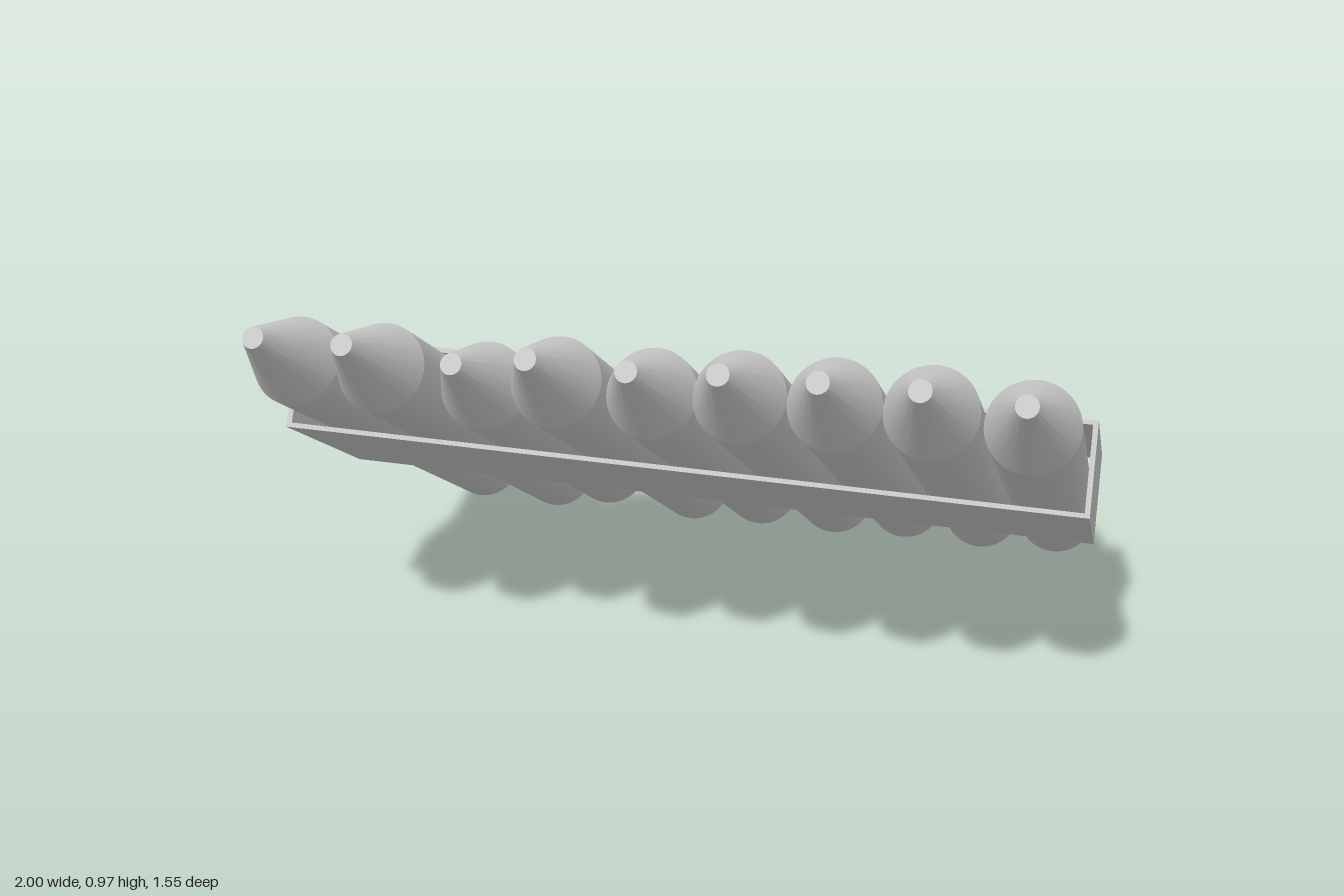
import * as THREE from 'three';
import { toCreasedNormals } from 'three/addons/utils/BufferGeometryUtils.js';

const RADIUS = 0.1093;
const TIP_RADIUS = 0.026;
const CONE_LENGTH = 0.237;
const SPACING = 0.2188;

// One pointed rod along z, from its flat back end to its blunt tip
function rodGeometry(back, tip) {
  const profile = [
    [0, back], [RADIUS, back], [RADIUS, tip - CONE_LENGTH], [TIP_RADIUS, tip], [0, tip],
  ].map(([r, s]) => new THREE.Vector2(r, s));
  const geometry = new THREE.LatheGeometry(profile, 48);
  geometry.rotateX(Math.PI / 2);
  return toCreasedNormals(geometry, 0.25);
}

function rectangle(PathType, halfWidth, halfHeight) {
  const path = new PathType();
  path.moveTo(-halfWidth, -halfHeight);
  path.lineTo(halfWidth, -halfHeight);
  path.lineTo(halfWidth, halfHeight);
  path.lineTo(-halfWidth, halfHeight);
  path.closePath();
  return path;
}

// Thin hollow sleeve, sheared so that it crosses the rods at a slant
function bandGeometry() {
  const length = 0.481;
  const shape = rectangle(THREE.Shape, 1, 0.123);
  shape.holes.push(rectangle(THREE.Path, 0.987, 0.111));
  const geometry = new THREE.ExtrudeGeometry(shape, { depth: length, bevelEnabled: false });
  geometry.translate(0, 0, -length / 2 - 0.011);
  const p = geometry.attributes.position;
  for (let i = 0; i < p.count; i++) p.setZ(i, p.getZ(i) - 0.157 * p.getX(i));
  geometry.computeVertexNormals();
  return geometry;
}

export function createModel() {
  const model = new THREE.Group();
  model.name = 'bandedRods';
  const material = new THREE.MeshStandardMaterial({ color: 0xcccccc });

  // Everything lies in a plane tilted up towards the front
  const tilted = new THREE.Group();
  tilted.name = 'tiltedRow';
  tilted.rotation.x = -Math.PI / 6;
  tilted.position.y = 0.508;
  model.add(tilted);

  // Back end and tip of each rod, from the right (-x) to the left (+x)
  const rods = [
    [-0.76, 0.88], [-0.826, 0.88], [-0.642, 0.758],
    [-0.826, 0.88], [-0.786, 0.833], [-0.826, 0.88],
    [-0.77, 0.88], [-0.826, 0.88], [-0.77, 0.803],
  ];
  rods.forEach(([back, tip], i) => {
    const rod = new THREE.Mesh(rodGeometry(back, tip), material);
    rod.name = `rod${i + 1}`;
    rod.position.x = (i - 4) * SPACING;
    tilted.add(rod);
  });

  // Slanted sleeve around the row
  const band = new THREE.Mesh(bandGeometry(), material);
  band.name = 'band';
  tilted.add(band);

  return model;
}
